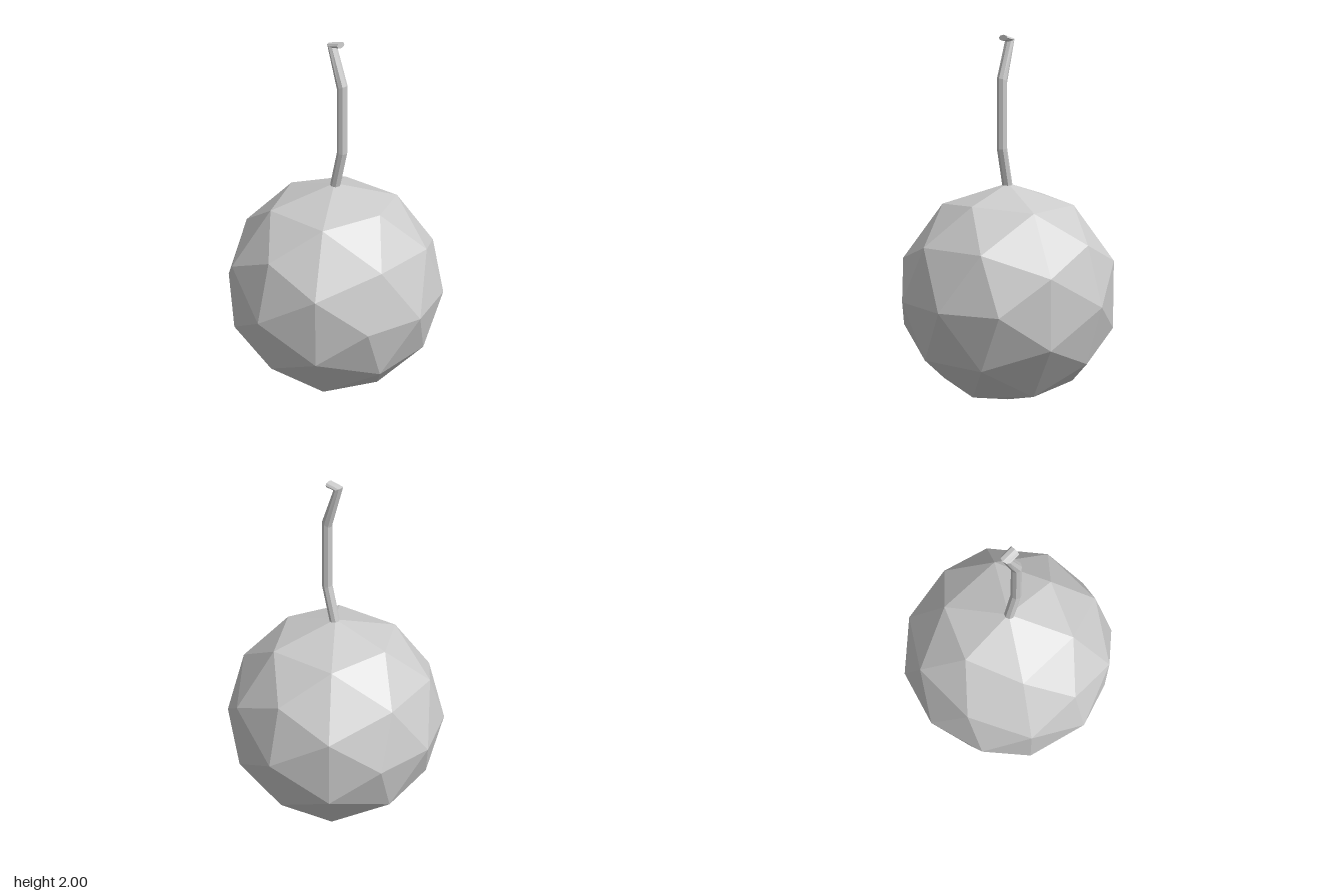
import * as THREE from 'three';

const RADIUS = 0.604;
const SIDES = 8;

// Mitred sweep: each station holds a centre (x, y), an in-plane half width (wx, wy) and a half depth in z
function sweep(stations) {
  const pos = [], idx = [];
  for (const { c, w, d } of stations) {
    for (let i = 0; i < SIDES; i++) {
      const a = (i / SIDES) * Math.PI * 2;
      pos.push(c[0] + w[0] * Math.cos(a), c[1] + w[1] * Math.cos(a), d * Math.sin(a));
    }
  }
  const last = (stations.length - 1) * SIDES;
  for (let s = 0; s < last; s += SIDES) {
    for (let i = 0; i < SIDES; i++) {
      const j = (i + 1) % SIDES;
      idx.push(s + i, s + SIDES + i, s + j, s + j, s + SIDES + i, s + SIDES + j);
    }
  }
  // End caps
  for (let i = 1; i < SIDES - 1; i++) {
    idx.push(0, i, i + 1, last, last + i + 1, last + i);
  }
  const geo = new THREE.BufferGeometry();
  geo.setAttribute('position', new THREE.Float32BufferAttribute(pos, 3));
  geo.setIndex(idx);
  const flat = geo.toNonIndexed();
  flat.computeVertexNormals();
  return flat;
}

export function createModel() {
  const group = new THREE.Group();
  const material = new THREE.MeshStandardMaterial({ color: 0xcccccc, flatShading: true });

  // Faceted round body
  const body = new THREE.Mesh(new THREE.IcosahedronGeometry(RADIUS, 1), material);
  body.name = 'body';
  body.position.y = RADIUS + 0.001;
  group.add(body);

  // Crooked stem with a short hooked tip
  const d = 0.028;
  const stem = new THREE.Mesh(sweep([
    { c: [0.005, 1.2], w: [0.027, -0.004], d },
    { c: [0.053, 1.4], w: [0.027, -0.003], d },
    { c: [0.053, 1.76], w: [0.027, 0.013], d },
    { c: [-0.017, 1.973], w: [0.023, -0.009], d },
    { c: [0.042, 1.984], w: [0.001, -0.016], d },
  ]), material);
  stem.name = 'stem';
  group.add(stem);

  return group;
}
